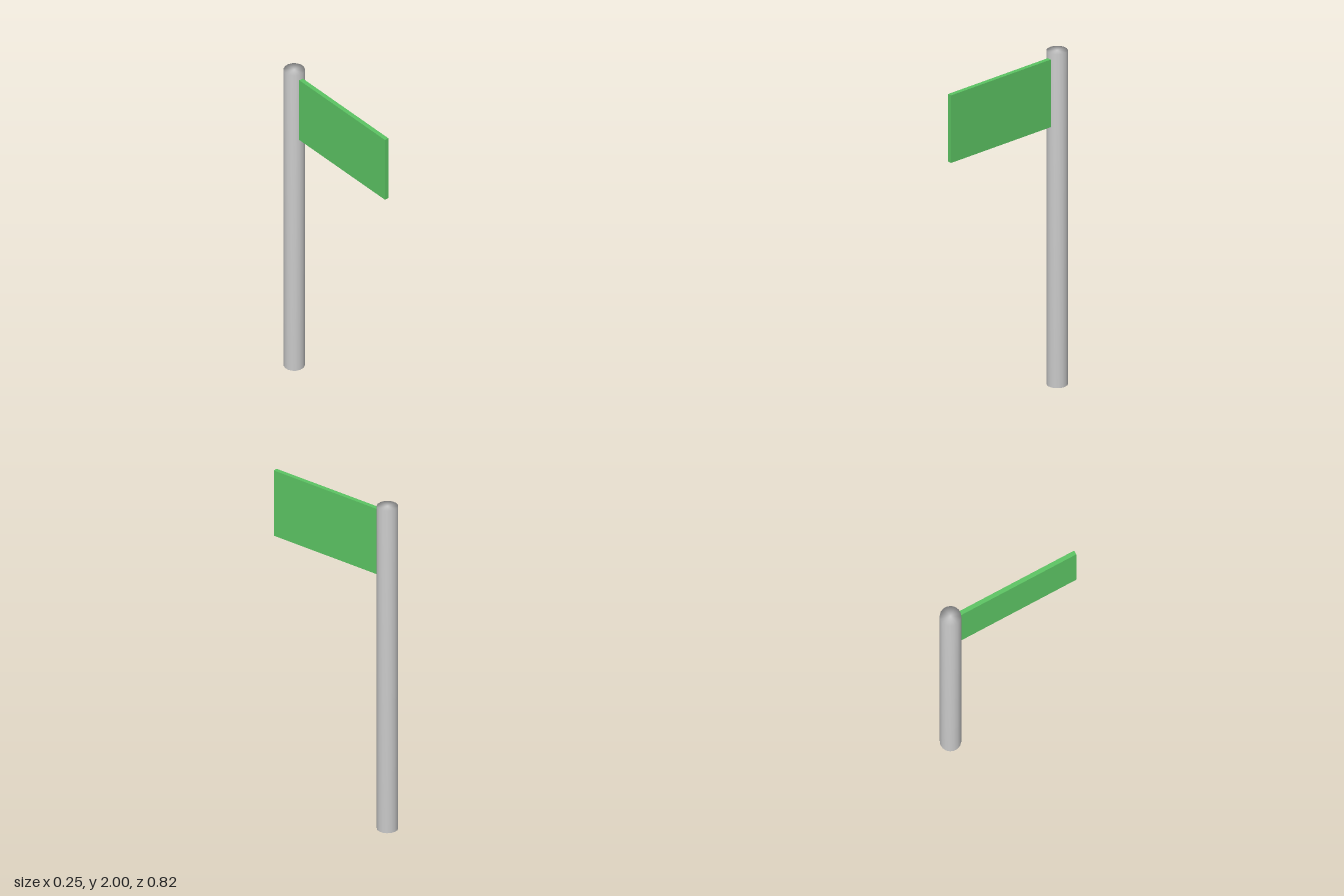
import * as THREE from 'three';

export function createModel() {
  const model = new THREE.Group();
  const poleX = 0.063, poleZ = -0.355, radius = 0.059, height = 2;

  // Upright pole, shaded smoothly over the end caps
  const profile = [[0, 0], [radius, 0], [radius, height], [0, height]]
    .map(([x, y]) => new THREE.Vector2(x, y));
  const pole = new THREE.Mesh(
    new THREE.LatheGeometry(profile, 16),
    new THREE.MeshStandardMaterial({ color: 0xcccccc })
  );
  pole.name = 'pole';
  pole.position.set(poleX, 0, poleZ);
  model.add(pole);

  // Sign panel, swung slightly to one side of the pole and rooted in it
  const dx = -0.174, dz = 0.762, length = Math.hypot(dx, dz);
  const panel = new THREE.Mesh(
    new THREE.BoxGeometry(0.025, 0.405, length),
    new THREE.MeshStandardMaterial({ color: 0x5cc463 })
  );
  panel.name = 'signPanel';
  panel.position.set(poleX + dx / 2, 1.7625, poleZ + dz / 2);
  panel.rotation.y = Math.atan2(dx, dz);
  model.add(panel);

  return model;
}
